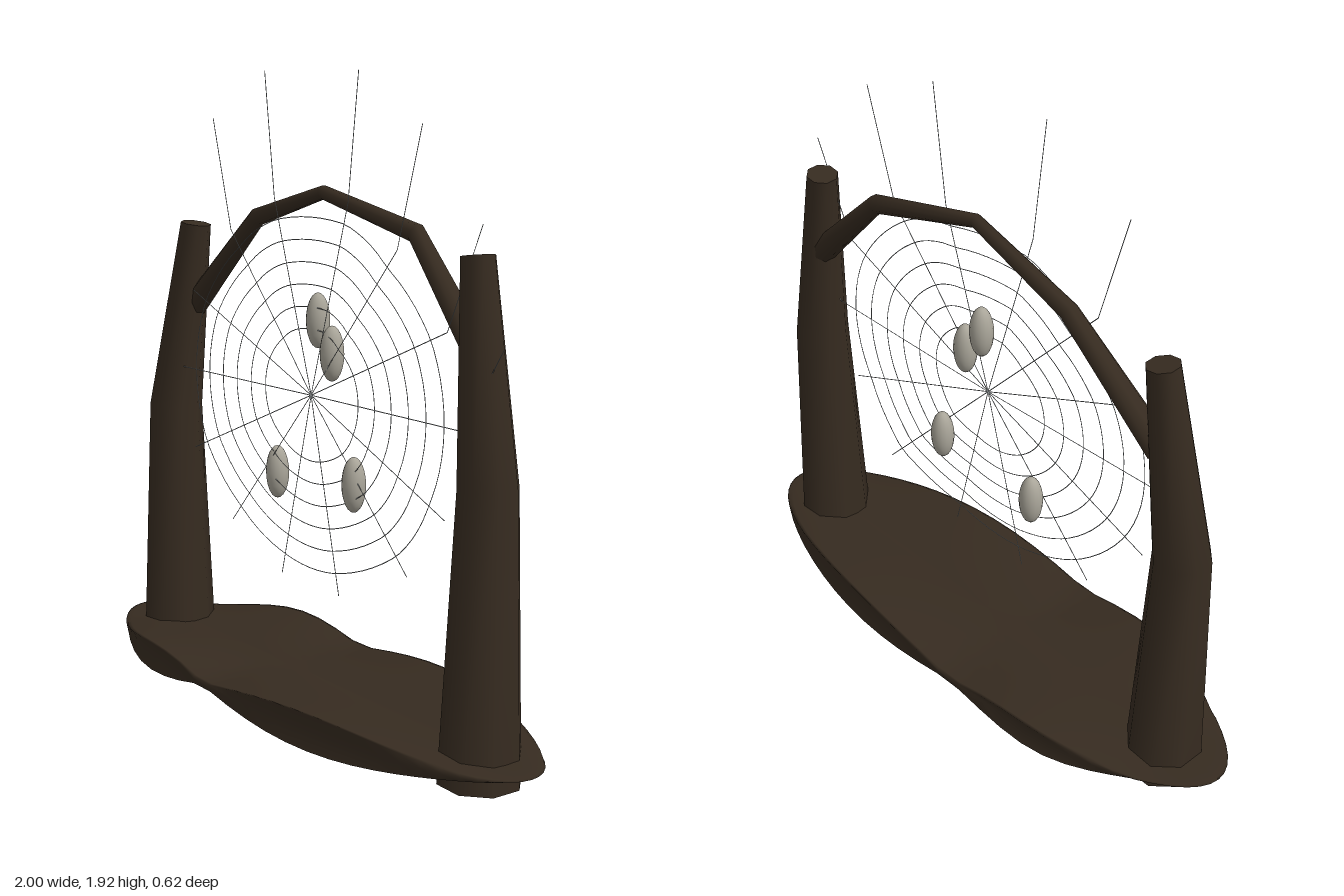
import * as THREE from 'three';
import { mergeGeometries } from 'three/addons/utils/BufferGeometryUtils.js';

const V = (x, y, z) => new THREE.Vector3(x, y, z);

// Tapered branch through points with a radius at each point, closed at both ends
function branch(points, radii, sides, ref) {
  const pos = [], idx = [], n = points.length;
  const rings = points.map((p, i) => {
    const t = points[Math.min(i + 1, n - 1)].clone().sub(points[Math.max(i - 1, 0)]).normalize();
    const u = ref.clone().addScaledVector(t, -ref.dot(t)).normalize();
    const w = t.clone().cross(u);
    return Array.from({ length: sides }, (_, k) => {
      const a = ((k + 0.5) / sides) * Math.PI * 2;
      return p.clone().addScaledVector(u, Math.cos(a) * radii[i]).addScaledVector(w, Math.sin(a) * radii[i]);
    });
  });
  rings.forEach((ring) => ring.forEach((v) => pos.push(v.x, v.y, v.z)));
  for (let i = 0; i < n - 1; i++) {
    for (let k = 0; k < sides; k++) {
      const a = i * sides + k, b = i * sides + ((k + 1) % sides);
      idx.push(a, b, b + sides, a, b + sides, a + sides);
    }
  }
  // end caps with their own vertices so the rim stays sharp
  [[0, true], [n - 1, false]].forEach(([i, flip]) => {
    const c = pos.length / 3;
    [points[i], ...rings[i]].forEach((v) => pos.push(v.x, v.y, v.z));
    for (let k = 0; k < sides; k++) {
      const a = c + 1 + k, b = c + 1 + ((k + 1) % sides);
      if (flip) idx.push(c, b, a);
      else idx.push(c, a, b);
    }
  });
  const g = new THREE.BufferGeometry();
  g.setAttribute('position', new THREE.Float32BufferAttribute(pos, 3));
  g.setIndex(idx);
  g.computeVertexNormals();
  return g;
}

export function createModel() {
  const model = new THREE.Group();
  const bark = new THREE.MeshStandardMaterial({ color: 0x362b20 });
  bark.name = 'bark brown';
  const silk = new THREE.MeshStandardMaterial({ color: 0xb2b8ba });
  silk.name = 'silk grey';
  const cocoonSilk = new THREE.MeshStandardMaterial({ color: 0xaaa69a });
  cocoonSilk.name = 'cocoon grey';

  const add = (name, geometry, material, parent = model) => {
    const mesh = new THREE.Mesh(geometry, material);
    mesh.name = name;
    parent.add(mesh);
    return mesh;
  };

  // Ground slab: thin along its spine, with upper and lower lips that part
  // towards the rim and a groove between them; pinched at x = -0.15
  const slab = new THREE.SphereGeometry(1, 64, 24);
  const p = slab.attributes.position;
  for (let i = 0; i < p.count; i++) {
    const x = p.getX(i), y = p.getY(i), z = p.getZ(i);
    const widen = 1 + 0.12 * Math.exp(-(((x + 0.6) / 0.25) ** 2));
    const phase = x < -0.15 ? Math.min(1, (-0.15 - x) / 0.68) : (x + 0.15) / 1.15;
    const swell = Math.sin(phase * Math.PI);
    const onRim = Math.abs(y) < 1e-6;
    const lip = onRim ? 0 : Math.sign(y) * (x < -0.15 ? 0.05 : 0.058) * swell * Math.abs(z);
    const groove = onRim ? 1 - 0.08 * swell : 1;
    p.setXYZ(i, x, 0.075 + y * 0.014 + lip, z * 0.312 * widen * groove);
  }
  slab.computeVertexNormals();
  add('groundSlab', slab, bark);

  // Two leaning trunks
  for (const s of [1, -1]) {
    add(s > 0 ? 'leftTrunk' : 'rightTrunk', branch(
      [V(s * 0.785, 0, -0.005), V(s * 0.798, 0.82, -0.008), V(s * 0.708, 1.432, -0.038)],
      [0.122, 0.088, 0.05], 8, V(1, 0, 0)), bark);
  }

  // Arched branch between the trunks
  add('archBranch', branch(
    [V(-0.72, 1.16, -0.04), V(-0.4, 1.468, -0.077), V(0, 1.565, -0.045), V(0.4, 1.468, -0.077), V(0.72, 1.16, -0.04)],
    [0.042, 0.029, 0.021, 0.029, 0.042], 8, V(0, 0, 1)), bark);

  // Web threads; each spoke leans slightly forward or back
  const web = new THREE.Group();
  web.name = 'web';
  model.add(web);
  const lean = [0, 0, 0.02, -0.02, 0.025, 0, 0.02, 0.02, 0.02, 0, 0, 0.01, -0.025, 0];
  const spokes = lean.length, r = 0.0014;
  const onWeb = (spoke, scale) => {
    const angle = (spoke / spokes) * Math.PI * 2, k = Math.floor(spoke);
    const z = THREE.MathUtils.lerp(lean[k % spokes], lean[(k + 1) % spokes], spoke - k);
    return V(Math.cos(angle) * 0.7 * scale, 0.96 + Math.sin(angle) * 0.6 * scale, z * scale);
  };
  const thread = (a, b) => new THREE.TubeGeometry(new THREE.LineCurve3(a, b), 1, r, 4);

  const radial = lean.map((_, k) => thread(onWeb(k, 0), onWeb(k, 1)));
  add('webSpokes', mergeGeometries(radial), silk, web);

  const rings = [];
  for (let i = 0; i < 6; i++) {
    const pts = Array.from({ length: 56 }, (_, k) => onWeb((k / 56) * spokes, 0.335 + i * 0.111));
    rings.push(new THREE.TubeGeometry(new THREE.CatmullRomCurve3(pts, true), 84, r, 4, true));
  }
  add('webRings', mergeGeometries(rings), silk, web);

  // Loose threads rising from the upper spokes: spoke number and free end
  const loose = [
    [0, V(0.86, 1.2, 0)], [1, V(0.77, 1.52, 0)], [2, V(0.535, 1.775, 0.015)],
    [3, V(0.19, 1.92, -0.03)], [4, V(-0.19, 1.92, 0.035)], [5, V(-0.535, 1.775, 0)],
  ].map(([k, end]) => thread(onWeb(k, 1), end));
  add('looseThreads', mergeGeometries(loose), silk, web);

  // Wrapped cocoons hanging in the web
  for (const [x, y] of [[0.002, 1.185], [0.073, 1.093], [-0.215, 0.685], [0.183, 0.715]]) {
    const cocoon = add('cocoon', new THREE.SphereGeometry(1, 16, 12), cocoonSilk);
    cocoon.scale.set(0.038, 0.084, 0.036);
    cocoon.position.set(x, y, -0.024);
  }
  return model;
}
